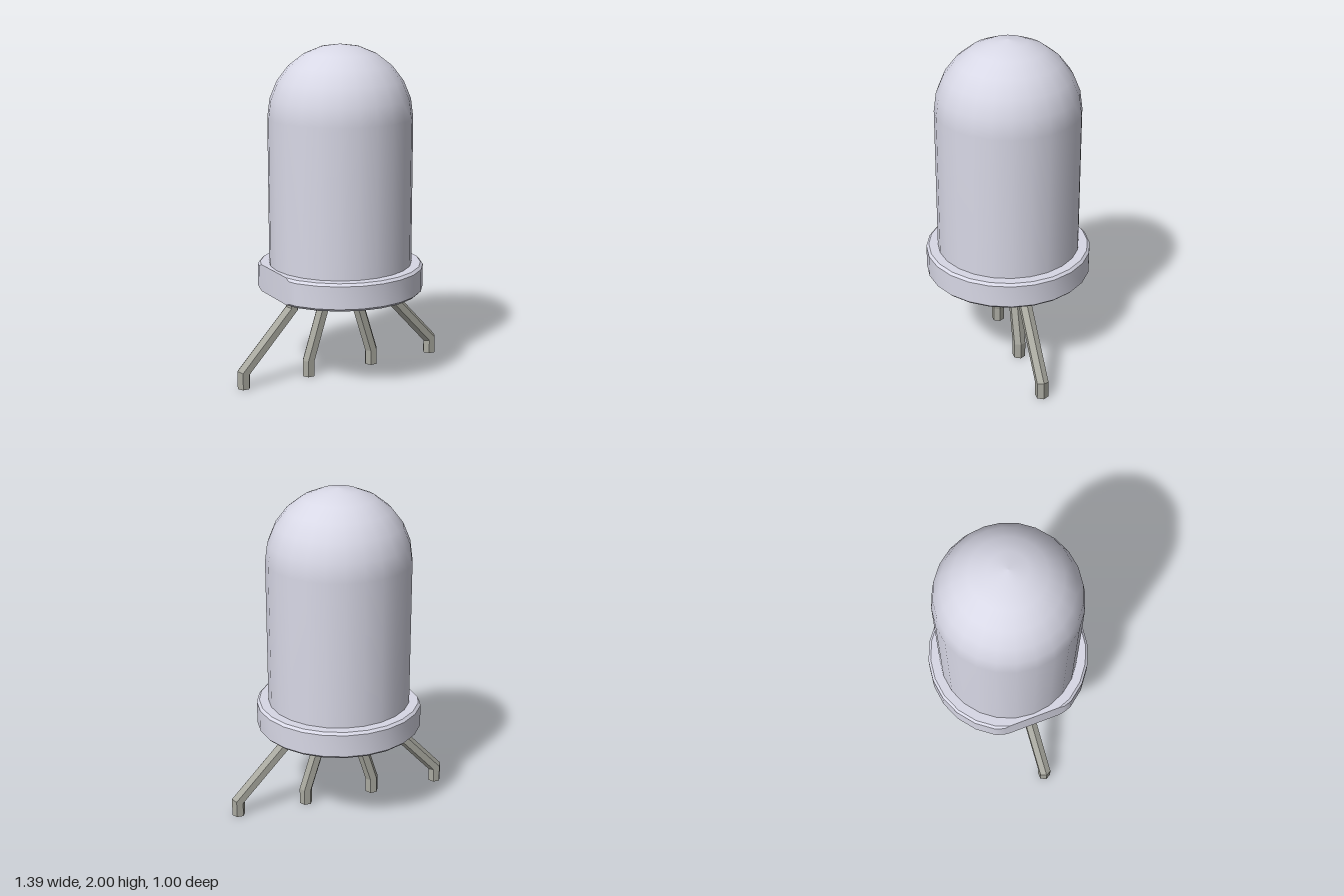
import * as THREE from 'three';
import { toCreasedNormals } from 'three/addons/utils/BufferGeometryUtils.js';

const SIDES = 24;
const bodyMaterial = new THREE.MeshStandardMaterial({ color: 0xd8d8e6 });
const legMaterial = new THREE.MeshStandardMaterial({ color: 0xa9a9a0 });

function lathe(points) {
  return new THREE.LatheGeometry(points.map(([r, y]) => new THREE.Vector2(r, y)), SIDES);
}

// Straight cylinder topped by a hemisphere
function domeGeometry() {
  const radius = 0.43, centreY = 1.57, profile = [[radius, 0.68]];
  for (let i = 0; i <= 6; i++) {
    const a = (i / 6) * Math.PI / 2;
    profile.push([i === 6 ? 0 : radius * Math.cos(a), centreY + radius * Math.sin(a)]);
  }
  return lathe(profile);
}

// Chamfered disc, cut flat on the -x side
function flangeGeometry() {
  const flatX = -0.45;
  const geo = lathe([[0, 0.525], [0.485, 0.525], [0.5, 0.54], [0.5, 0.675], [0.485, 0.69], [0, 0.69]]);
  const p = geo.attributes.position;
  for (let i = 0; i < p.count; i++) {
    if (p.getX(i) >= flatX) continue;
    const r = Math.hypot(p.getX(i), p.getZ(i));
    const half = 0.9 * Math.sqrt(r * r - flatX * flatX);
    if (Math.abs(p.getZ(i)) > 0.01) p.setZ(i, Math.sign(p.getZ(i)) * half);
    p.setX(i, flatX);
  }
  return toCreasedNormals(geo, 0.5);
}

// Hexagonal wire swept along a bent path with mitred joints
function legGeometry(topX, footX) {
  const path = [[footX, 0], [footX, 0.095], [topX, 0.445], [topX, 0.54]];
  const lean = Math.tan(Math.atan2(topX - footX, 0.35) / 2);
  const positions = [], indices = [];
  path.forEach(([x, y], ring) => {
    const slope = ring === 1 || ring === 2 ? lean : 0;
    for (let k = 0; k < 6; k++) {
      const a = k * Math.PI / 3, dx = 0.04 * Math.cos(a);
      positions.push(x + dx, y - dx * slope, 0.04 * Math.sin(a));
    }
  });
  for (let ring = 0; ring < 3; ring++) {
    for (let k = 0; k < 6; k++) {
      const a = ring * 6 + k, b = ring * 6 + (k + 1) % 6;
      indices.push(a, a + 6, b, b, a + 6, b + 6);
    }
  }
  // end caps
  for (let k = 1; k < 5; k++) indices.push(0, k, k + 1, 18, 18 + k + 1, 18 + k);
  const geo = new THREE.BufferGeometry();
  geo.setAttribute('position', new THREE.Float32BufferAttribute(positions, 3));
  geo.setIndex(indices);
  const flat = geo.toNonIndexed();
  flat.computeVertexNormals();
  return flat;
}

export function createModel() {
  const model = new THREE.Group();
  model.name = 'lightEmittingDiode';
  const add = (name, geometry, material) => {
    const mesh = new THREE.Mesh(geometry, material);
    mesh.name = name;
    model.add(mesh);
  };

  add('dome', domeGeometry(), bodyMaterial);
  add('flange', flangeGeometry(), bodyMaterial);

  // Two mirrored pairs of splayed legs
  for (const [side, s] of [['left', 1], ['right', -1]]) {
    add(side + 'OuterLeg', legGeometry(s * 0.33, s * 0.655), legMaterial);
    add(side + 'InnerLeg', legGeometry(s * 0.11, s * 0.22), legMaterial);
  }
  return model;
}
